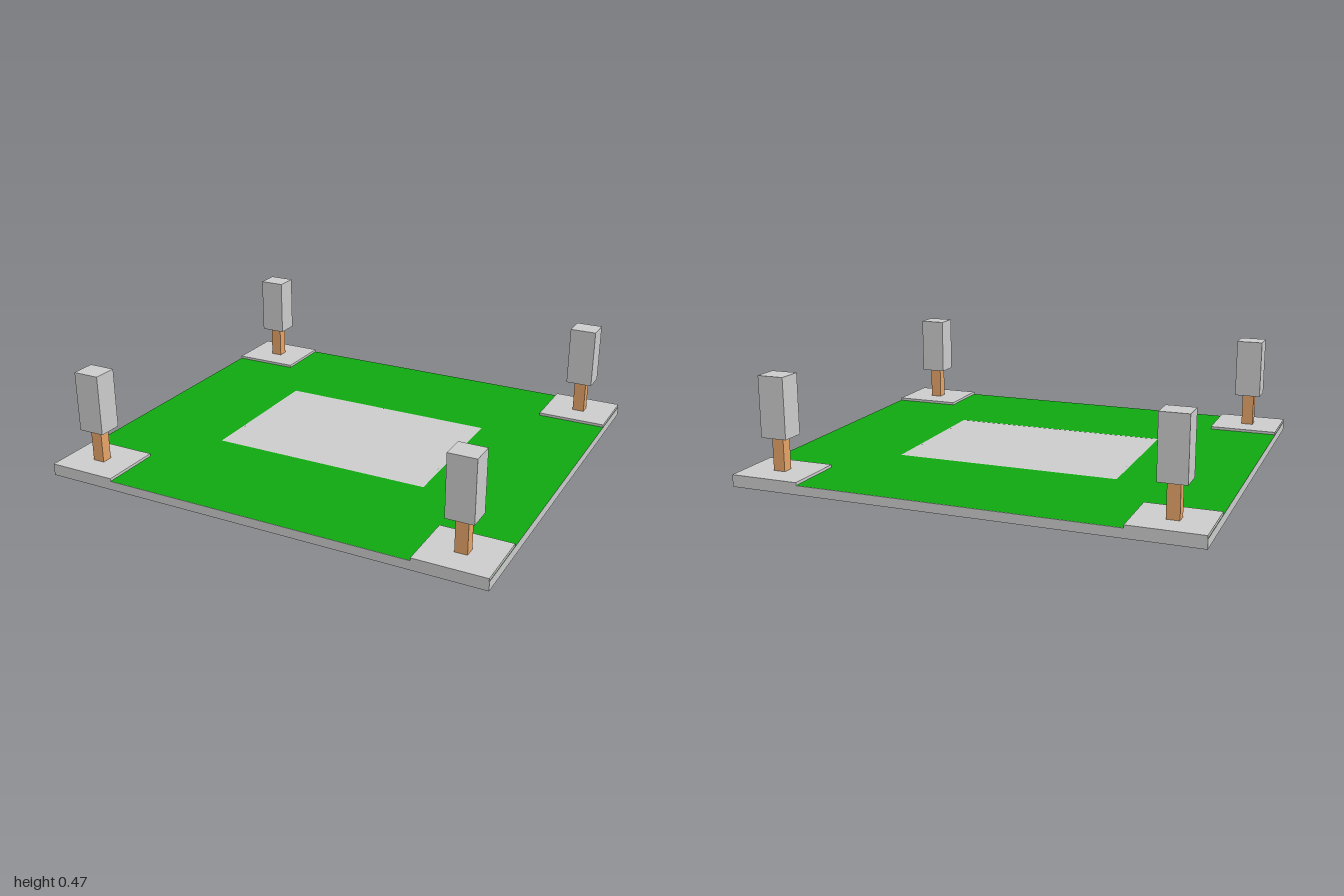
import * as THREE from 'three';

export function createModel() {
  const model = new THREE.Group();
  const grey = new THREE.MeshStandardMaterial({ color: 0xcccccc });
  const green = new THREE.MeshStandardMaterial({ color: 0x10a810 });
  const wood = new THREE.MeshStandardMaterial({ color: 0xe6a468 });
  const paint = new THREE.MeshStandardMaterial({ color: 0xdcdcdc });

  function add(parent, name, geometry, material, x, y, z) {
    const mesh = new THREE.Mesh(geometry, material);
    mesh.name = name;
    mesh.position.set(x, y, z);
    parent.add(mesh);
    return mesh;
  }
  // box standing on a given height
  const box = (parent, name, w, h, d, material, x, bottom, z) =>
    add(parent, name, new THREE.BoxGeometry(w, h, d), material, x, bottom + h / 2, z);
  // flat sheet facing up
  const sheet = (parent, name, w, d, material, x, y, z) =>
    add(parent, name, new THREE.PlaneGeometry(w, d).rotateX(-Math.PI / 2), material, x, y, z);

  // ground slab with lawn on top
  box(model, 'baseSlab', 2, 0.04, 1.766, grey, 0, 0, 0);
  sheet(model, 'lawn', 2, 1.766, green, 0, 0.041, 0);

  // playing field: pale border, grey surface, painted markings
  const field = new THREE.Group();
  field.name = 'playingField';
  field.position.z = -0.003;
  model.add(field);
  sheet(field, 'fieldBorder', 1, 0.67, paint, 0, 0.0425, 0);
  sheet(field, 'fieldSurface', 0.98, 0.65, grey, 0, 0.044, 0);

  const lineY = 0.0455, line = 0.01;
  sheet(field, 'halfwayLine', line, 0.65, paint, 0, lineY, 0);
  add(field, 'centreCircle',
    new THREE.RingGeometry(0.095, 0.104, 48).rotateX(-Math.PI / 2), paint, 0, lineY, 0);
  for (const side of [-1, 1]) {
    sheet(field, 'penaltyFrontLine', line, 0.324, paint, side * 0.337, lineY, 0);
    for (const end of [-1, 1])
      sheet(field, 'penaltySideLine', 0.148, line, paint, side * 0.416, lineY, end * 0.157);
  }

  // a paved pad with a block tree in each corner
  for (const sx of [-1, 1]) {
    for (const sz of [-1, 1]) {
      const corner = new THREE.Group();
      corner.name = 'cornerTree';
      model.add(corner);
      const x = sx * 0.845, z = sz * 0.747;
      box(corner, 'pad', 0.308, 0.013, 0.274, grey, x, 0.04, z);
      box(corner, 'trunk', 0.053, 0.15, 0.048, wood, x, 0.053, z);
      box(corner, 'foliage', 0.118, 0.265, 0.106, grey, x, 0.2, z);
    }
  }
  return model;
}
